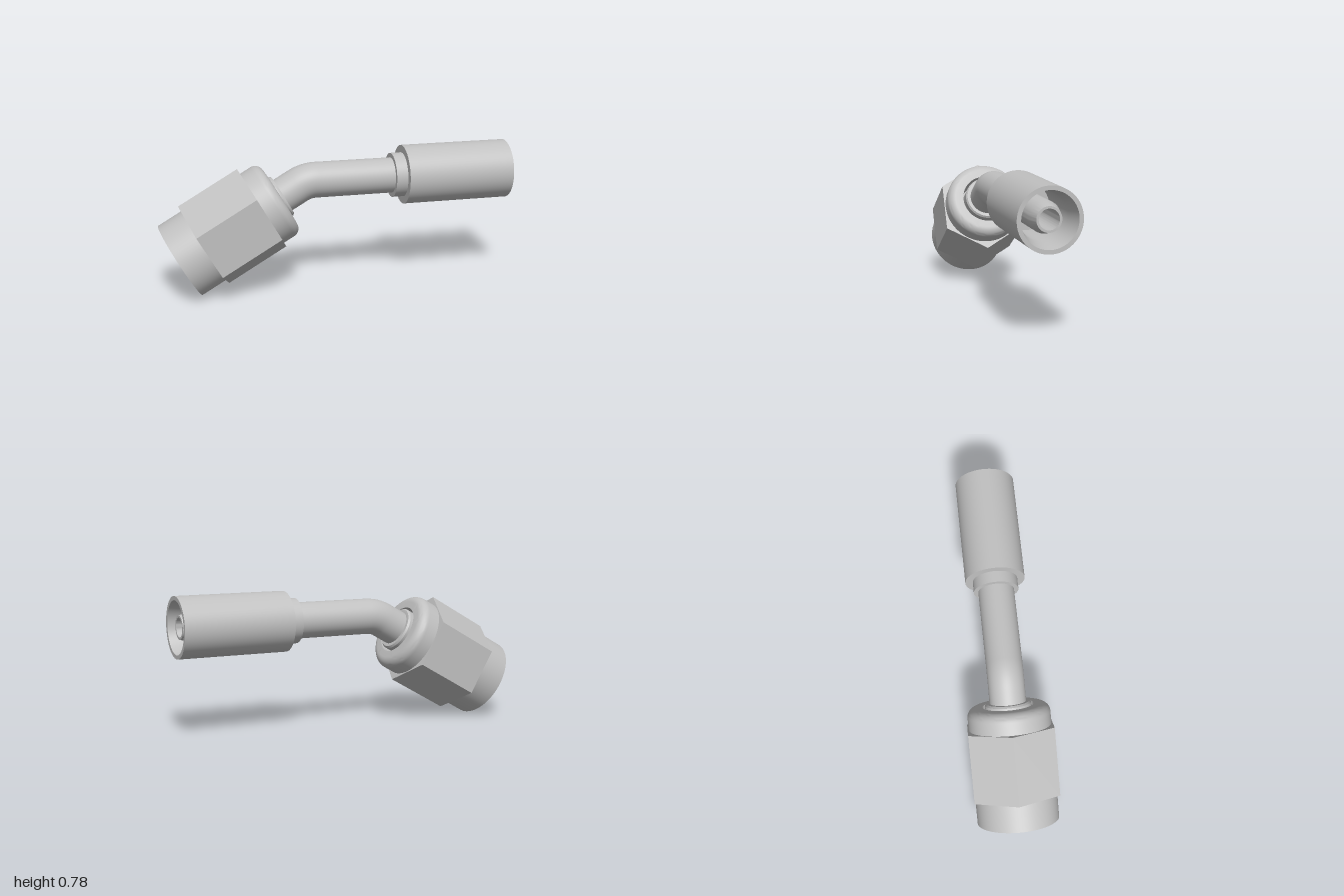
import * as THREE from 'three';
import { toCreasedNormals } from 'three/addons/utils/BufferGeometryUtils.js';

const TILT = Math.PI / 6; // bend angle of the elbow
const AXIS_Y = 0.609; // height of the straight run
const NUT_END = new THREE.Vector3(-0.887, 0.197, 0); // centre of the nut mouth
const NUT_DIR = new THREE.Vector3(Math.cos(TILT), Math.sin(TILT), 0);

const steel = new THREE.MeshStandardMaterial({ color: 0xc0c0c0 });
steel.name = 'steel grey';

function part(name, geometry) {
  const mesh = new THREE.Mesh(geometry, steel);
  mesh.name = name;
  return mesh;
}

// Turned part from [radius, height] pairs; runs up the outside, down the inside
function turned(name, profile) {
  const pts = profile.map(([r, y]) => new THREE.Vector2(r, y));
  return part(name, toCreasedNormals(new THREE.LatheGeometry(pts, 72), 0.5));
}

// Quarter-round corner for a turned profile
function roundedCorner(r, y, fillet, steps = 8) {
  return Array.from({ length: steps + 1 }, (_, i) => {
    const a = (i / steps) * Math.PI / 2;
    return [r - fillet + fillet * Math.cos(a), y - fillet + fillet * Math.sin(a)];
  });
}

function createNut() {
  const nut = new THREE.Group();
  nut.name = 'swivelNut';
  nut.position.copy(NUT_END);
  nut.rotation.z = TILT - Math.PI / 2;

  // Round body with bored mouth and rounded shoulder
  nut.add(turned('nutBody', [
    [0.205, 0], [0.227, 0], ...roundedCorner(0.227, 0.652, 0.05),
    [0.14, 0.652], [0.14, 0.5], [0.19, 0.46], [0.19, 0.02], [0.205, 0],
  ]));

  // Hexagonal wrench flats, a corner pointing up
  const hex = new THREE.Shape();
  const corner = 0.233 / Math.cos(Math.PI / 6);
  for (let i = 0; i < 6; i++) {
    const a = i * Math.PI / 3;
    hex[i ? 'lineTo' : 'moveTo'](corner * Math.cos(a), corner * Math.sin(a));
  }
  hex.closePath();
  hex.holes.push(new THREE.Path().absarc(0, 0, 0.21, 0, Math.PI * 2, true));
  const hexGeometry = new THREE.ExtrudeGeometry(hex, { depth: 0.38, bevelEnabled: false, curveSegments: 24 });
  hexGeometry.rotateX(-Math.PI / 2).translate(0, 0.154, 0);
  nut.add(part('hexFlats', hexGeometry));

  // Flared seat inside the nut, with the sleeve that leaves at the back
  nut.add(turned('flaredSeat', [
    [0.175, 0.36], [0.186, 0.36], [0.186, 0.45], [0.126, 0.5], [0.126, 0.66],
    [0.118, 0.67], [0.095, 0.67], [0.06, 0.66], [0.06, 0.48], [0.175, 0.36],
  ]));
  return nut;
}

// Bent pipe: sloping run, short bend, level run
function createPipe() {
  const reach = (AXIS_Y - NUT_END.y) / Math.sin(TILT);
  const bend = NUT_END.clone().addScaledVector(NUT_DIR, reach);
  const start = NUT_END.clone().addScaledVector(NUT_DIR, 0.6);
  const bendIn = bend.clone().addScaledVector(NUT_DIR, -0.056);
  const bendOut = bend.clone().setX(bend.x + 0.056);
  const path = new THREE.CurvePath();
  path.add(new THREE.LineCurve3(start, bendIn));
  path.add(new THREE.QuadraticBezierCurve3(bendIn, bend, bendOut));
  path.add(new THREE.LineCurve3(bendOut, new THREE.Vector3(0.4, AXIS_Y, 0)));
  return part('bentPipe', new THREE.TubeGeometry(path, 80, 0.1, 48));
}

// Crimp ferrule, its collar and the hose nipple inside
function createHoseEnd() {
  const end = new THREE.Group();
  end.name = 'hoseEnd';
  end.position.y = AXIS_Y;
  end.rotation.z = -Math.PI / 2;
  end.add(turned('collar', [[0.09, 0.32], [0.125, 0.32], [0.125, 0.4]]));
  end.add(turned('ferrule', [
    [0.1, 0.385], [0.167, 0.385], [0.167, 1], [0.145, 1], [0.126, 0.88],
    [0.126, 0.55], [0.05, 0.55],
  ]));
  end.add(turned('hoseNipple', [
    [0.082, 0.54], [0.082, 0.9], [0.065, 0.98], [0.053, 0.98], [0.053, 0.42], [0, 0.42],
  ]));
  return end;
}

export function createModel() {
  const model = new THREE.Group();
  model.name = 'elbowHoseFitting';
  model.add(createNut(), createPipe(), createHoseEnd());
  return model;
}
